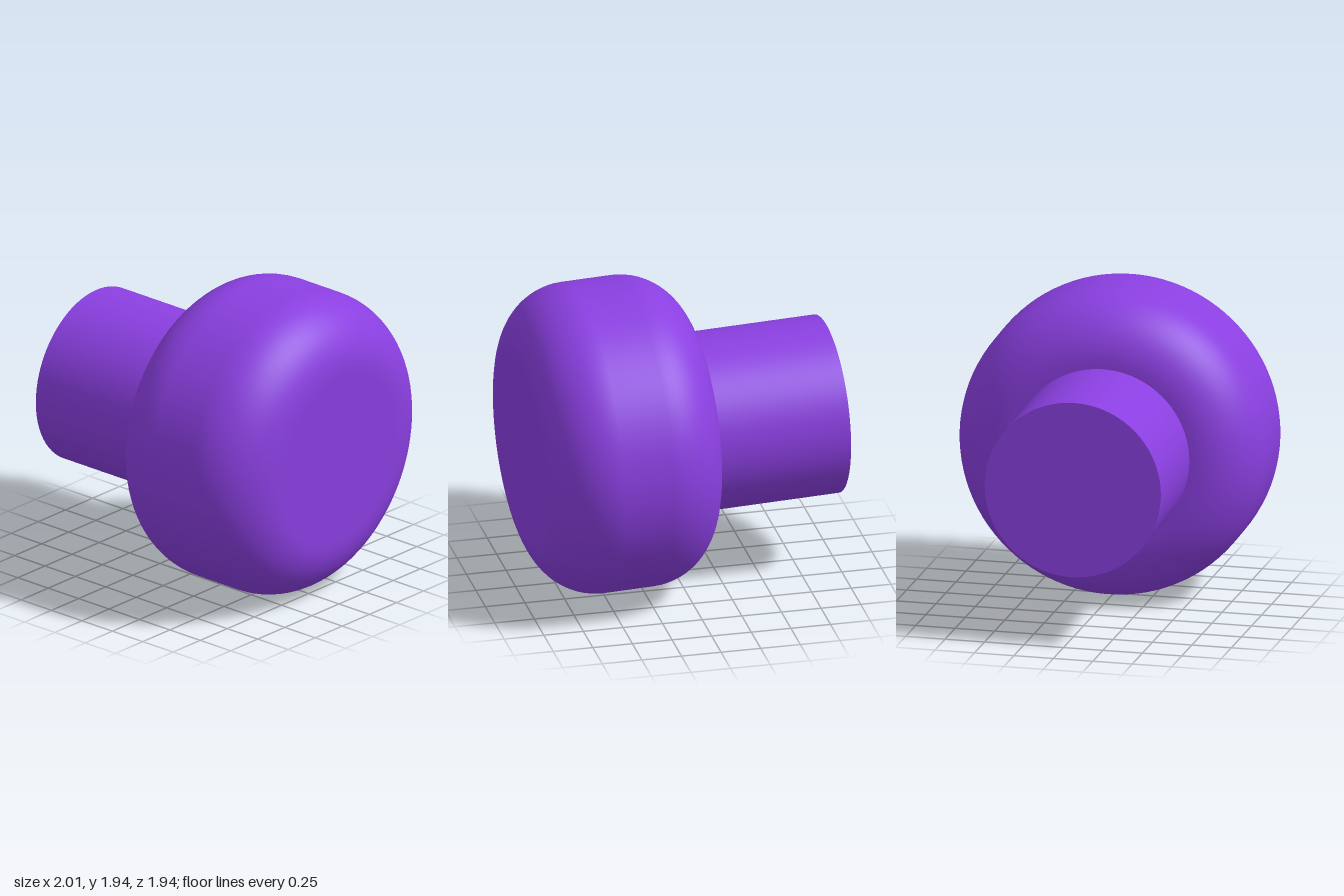
import * as THREE from 'three';

export function createModel() {
  const group = new THREE.Group();
  group.name = 'knob';
  const material = new THREE.MeshStandardMaterial({ color: 0x8a3fe0 });

  const stemRadius = 0.553, headRadius = 0.965, corner = 0.4;
  const headStart = 0.842, headEnd = 1.954;

  // Stem: plain cylinder running slightly into the head
  const stemLength = headStart + 0.03;
  const stem = new THREE.Mesh(
    new THREE.CylinderGeometry(stemRadius, stemRadius, stemLength, 96), material);
  stem.position.y = stemLength / 2;
  stem.name = 'stem';
  group.add(stem);

  // Head: disc with large rounded rims on both faces
  const flat = headRadius - corner;
  const profile = [new THREE.Vector2(0, headStart), new THREE.Vector2(flat - 0.02, headStart)];
  const addArc = (cy, from) => {
    for (let i = 0; i <= 16; i++) {
      const a = from + (i / 16) * Math.PI / 2;
      profile.push(new THREE.Vector2(flat + corner * Math.cos(a), cy + corner * Math.sin(a)));
    }
  };
  addArc(headStart + corner, -Math.PI / 2);
  addArc(headEnd - corner, 0);
  profile.push(new THREE.Vector2(flat - 0.02, headEnd), new THREE.Vector2(0, headEnd));
  const head = new THREE.Mesh(new THREE.LatheGeometry(profile, 96), material);
  head.name = 'head';
  group.add(head);

  // Lay the knob on its side with its slight tilt
  const axis = new THREE.Vector3(1, -0.025, -0.041).normalize();
  group.quaternion.setFromUnitVectors(new THREE.Vector3(0, 1, 0), axis);
  group.position.set(-0.976, 1.003, 0.053);

  const model = new THREE.Group();
  model.name = 'model';
  model.add(group);
  return model;
}
